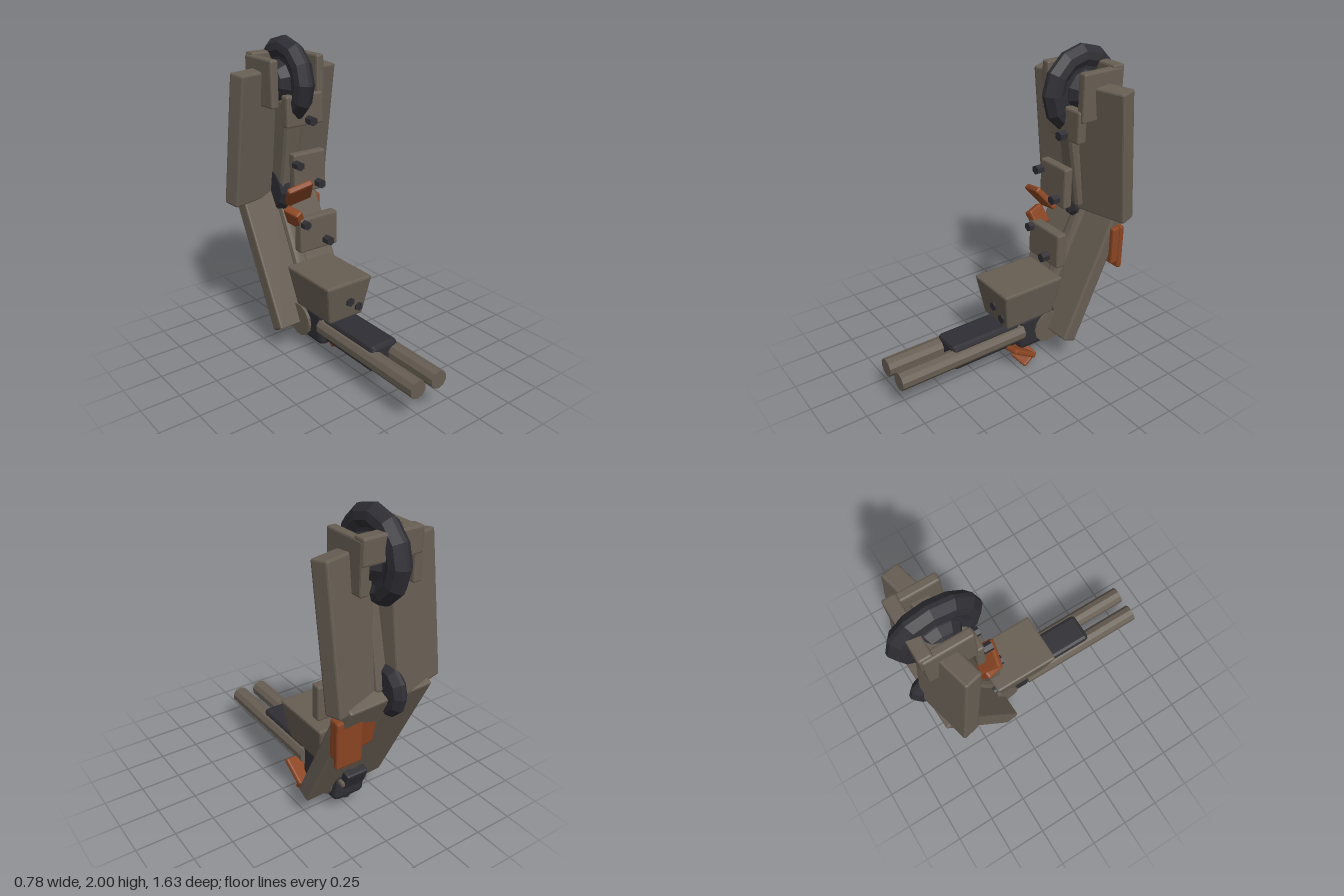
import * as THREE from 'three';
import { RoundedBoxGeometry } from 'three/addons/geometries/RoundedBoxGeometry.js';

const paint = (color) => new THREE.MeshStandardMaterial({ color, flatShading: true });
const deg = Math.PI / 180;

export function createModel() {
  const root = new THREE.Group();
  const metal = paint(0x675e53), dark = paint(0x2e2e34), rust = paint(0x8a4522);

  const add = (name, geometry, material, pos, rot = [0, 0, 0]) => {
    const mesh = new THREE.Mesh(geometry, material);
    mesh.name = name;
    mesh.position.set(...pos);
    mesh.rotation.set(rot[0] * deg, rot[1] * deg, rot[2] * deg, 'YXZ');
    root.add(mesh);
    return mesh;
  };
  // Box with chamfered edges
  const box = (name, material, size, pos, rot, bevel = 0.012) =>
    add(name, new RoundedBoxGeometry(...size, 1, bevel), material, pos, rot);
  // Box given by its [min, max] along each axis
  const span = (name, material, x, y, z, bevel) => {
    const r = [x, y, z];
    return box(name, material, r.map(([a, b]) => b - a), r.map(([a, b]) => (a + b) / 2), undefined, bevel);
  };
  const bolt = (x, y, z, length = 0.06) =>
    add('bolt', new THREE.CylinderGeometry(0.03, 0.03, length, 6), dark, [x, y, z], [90, 0, 0]);
  // Disc with its axis along x, from [radius, half width] pairs
  const disc = (name, material, profile, sides, pos) => {
    const side = profile.map(([r, w]) => new THREE.Vector2(r, w));
    const mirrored = profile.map(([r, w]) => new THREE.Vector2(r, -w)).reverse();
    const g = new THREE.LatheGeometry([...mirrored, ...side], sides);
    g.rotateZ(Math.PI / 2);
    return add(name, g, material, pos);
  };

  // Wheel at the top: bevelled tyre around a round hub
  const wheel = [0.005, 1.73, -0.535];
  disc('tyre', dark, [[0.27, 0.012], [0.235, 0.055], [0.19, 0.065], [0.15, 0.045], [0, 0.045]], 12, wheel);
  const hub = add('wheelHub', new THREE.SphereGeometry(0.14, 10, 8), dark, wheel);
  hub.rotation.z = Math.PI / 2;

  // Fork holding the wheel
  for (const x of [-0.16, 0.175]) {
    span('forkArm', metal, [x - 0.028, x + 0.028], [1.59, 1.885], [-0.69, -0.4]);
  }
  span('forkBridge', metal, [-0.175, 0.2], [1.75, 1.9], [-0.7, -0.62]);
  span('wheelAxle', dark, [-0.15, 0.17], [1.7, 1.76], [-0.565, -0.505]);

  // Upper section: two parallel twisted panels beside a core beam
  box('upperPanelRight', metal, [0.38, 0.85, 0.11], [-0.185, 1.385, -0.607], [7, 14, 0]);
  box('upperPanelLeft', metal, [0.38, 0.85, 0.11], [0.178, 1.375, -0.585], [7, 14, 0]);
  box('upperBeam', metal, [0.13, 0.66, 0.17], [0.005, 1.3, -0.545], [10, 0, 0], 0.03);

  // Elbow disc
  disc('elbowDisc', dark, [[0.165, 0.012], [0.13, 0.045], [0, 0.05]], 12, [-0.02, 1.0, -0.645]);

  // Lower section
  for (const x of [-0.145, 0.15]) {
    box('lowerPanel', metal, [0.27, 0.92, 0.1], [x, 0.585, -0.49 - 0.02 * x], [-25.5, 2, 0]);
  }
  box('lowerBeam', metal, [0.1, 0.9, 0.14], [0, 0.6, -0.48], [-25.5, 0, 0], 0.03);

  // Chest plates with hex bolts
  span('lowerChestPlate', metal, [-0.095, 0.195], [0.675, 0.905], [-0.325, -0.255]);
  span('middleChestPlate', metal, [-0.085, 0.155], [1.05, 1.31], [-0.385, -0.325]);
  span('upperChestPlate', metal, [-0.09, 0.185], [1.46, 1.66], [-0.45, -0.385]);
  for (const [x, y, z] of [
    [-0.065, 0.87, -0.25], [0.1, 0.73, -0.23], [-0.07, 1.245, -0.305],
    [0.09, 1.1, -0.305], [0.07, 1.495, -0.36],
  ]) bolt(x, y, z);

  // Hopper that narrows towards its base
  const hopper = new RoundedBoxGeometry(0.345, 0.27, 0.44, 1, 0.015);
  const p = hopper.attributes.position;
  for (let i = 0; i < p.count; i++) {
    const t = 0.5 - p.getY(i) / 0.27;
    p.setX(i, p.getX(i) * (1 - 0.26 * t));
    p.setZ(i, p.getZ(i) * (1 - 0.2 * t));
  }
  add('hopper', hopper, metal, [0.008, 0.455, -0.1]);
  bolt(0.02, 0.445, 0.085, 0.05);
  bolt(0.095, 0.388, 0.075, 0.05);

  // Pivot block and joint at the base
  span('pivotBlock', dark, [-0.1, 0.12], [0.1, 0.33], [-0.4, -0.04], 0.03);
  add('pivotJoint', new THREE.CylinderGeometry(0.11, 0.11, 0.25, 14), metal, [0.005, 0.21, -0.26], [0, 0, 90]);
  box('rearCap', dark, [0.15, 0.12, 0.06], [0.005, 0.27, -0.425], [-20, 0, 0]);
  span('rearCollar', metal, [-0.09, 0.1], [0.225, 0.265], [-0.44, -0.36]);
  add('drainPlug', new THREE.CylinderGeometry(0.032, 0.032, 0.06, 6), dark, [0, 0.095, -0.335]);

  // Twin barrels on a dark receiver
  span('receiver', dark, [-0.09, 0.11], [0.15, 0.32], [-0.04, 0.45], 0.025);
  for (const x of [-0.07, 0.09]) {
    add('barrel', new THREE.CylinderGeometry(0.058, 0.058, 0.88, 10), metal, [x, 0.235, 0.38], [90, 0, 0]);
  }

  // Loose rusty plates
  box('chestScrap', rust, [0.17, 0.18, 0.04], [-0.06, 1.06, -0.315], [38, 0, 18]);
  box('sideScrap', rust, [0.055, 0.13, 0.12], [-0.095, 0.905, -0.32], [10, 15, 28]);
  box('rearScrap', rust, [0.17, 0.295, 0.036], [0.235, 0.757, -0.667]);
  box('rearScrap', rust, [0.14, 0.23, 0.04], [0.1, 0.775, -0.635], [-8, 10, 0]);
  box('rearScrapEdge', rust, [0.04, 0.25, 0.06], [0.292, 0.775, -0.63]);
  box('footScrap', rust, [0.19, 0.035, 0.19], [0.1, 0.112, -0.02], [-32, 0, 10]);
  box('footScrap', rust, [0.13, 0.03, 0.12], [0.11, 0.06, -0.07], [38, 0, -22]);

  return root;
}
